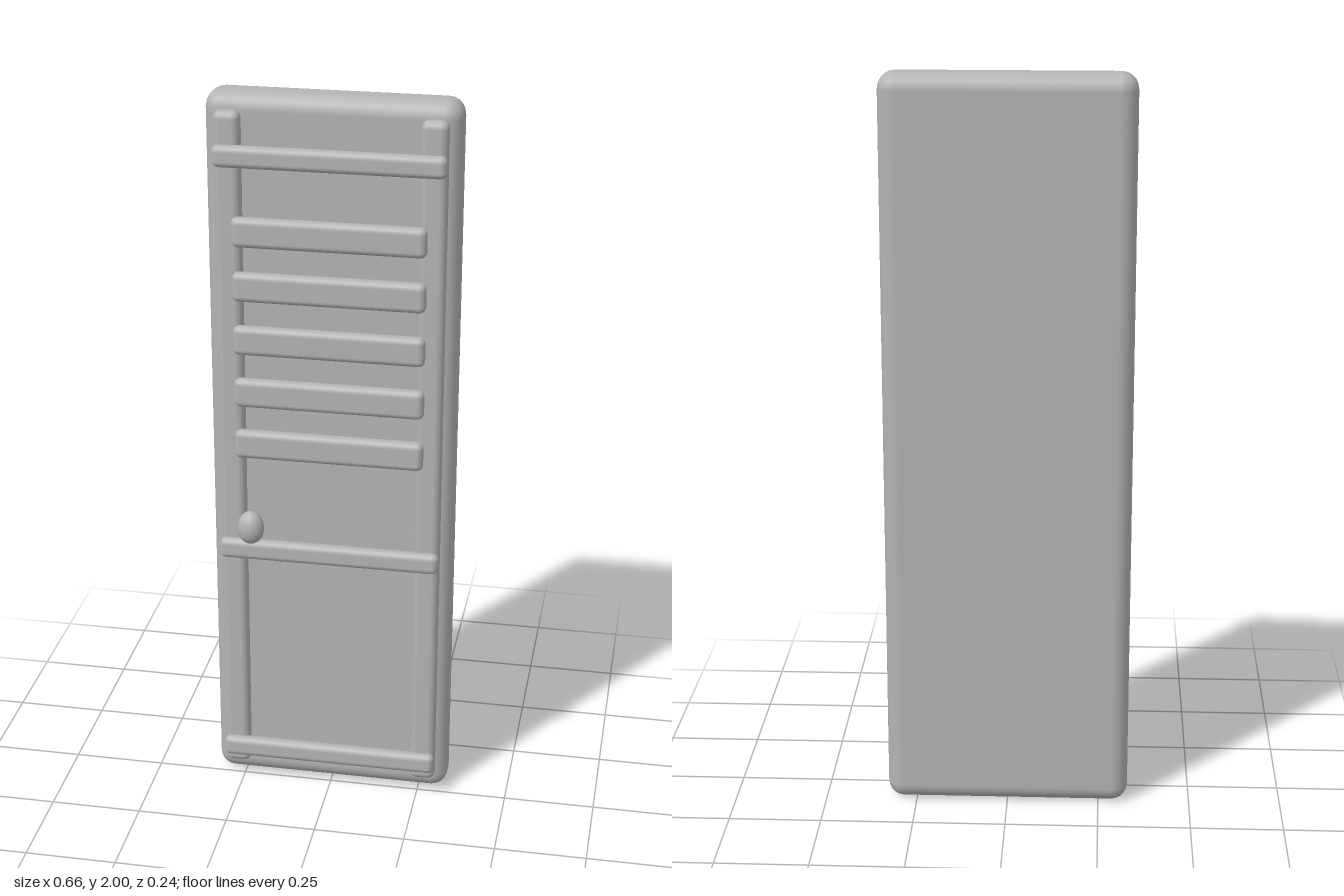
import * as THREE from 'three';
import { RoundedBoxGeometry } from 'three/addons/geometries/RoundedBoxGeometry.js';

export function createModel() {
  const group = new THREE.Group();
  group.name = 'louvredDoor';
  const grey = new THREE.MeshStandardMaterial({ color: 0xb4b4b4 });
  grey.name = 'plain grey';

  const add = (name, geometry, x, y, z) => {
    const mesh = new THREE.Mesh(geometry, grey);
    mesh.name = name;
    mesh.position.set(x, y, z);
    group.add(mesh);
    return mesh;
  };

  // Main slab with softened edges
  add('doorSlab', new RoundedBoxGeometry(0.66, 2, 0.115, 3, 0.045), 0, 1, -0.0625);

  // Upright stiles on both sides
  const stile = new RoundedBoxGeometry(0.07, 1.91, 0.046, 3, 0.02);
  for (const [name, side] of [['leftStile', 1], ['rightStile', -1]]) {
    add(name, stile, side * 0.265, 1.005, 0.004);
  }

  // Cross rails at the bottom, middle and top
  const rail = new RoundedBoxGeometry(0.6, 0.058, 0.037, 3, 0.017);
  for (const [name, y] of [['bottomRail', 0.11], ['middleRail', 0.742], ['topRail', 1.847]]) {
    add(name, rail, 0, y, 0.029);
  }

  // Row of louvre slats
  const slat = new RoundedBoxGeometry(0.506, 0.08, 0.037, 3, 0.017);
  for (let i = 0; i < 5; i++) add(`slat${i + 1}`, slat, 0, 1.056 + i * 0.148, 0.029);

  // Oval knob
  const knob = add('knob', new THREE.SphereGeometry(1, 24, 16), -0.202, 0.836, 0.087);
  knob.scale.set(0.036, 0.047, 0.031);

  return group;
}
